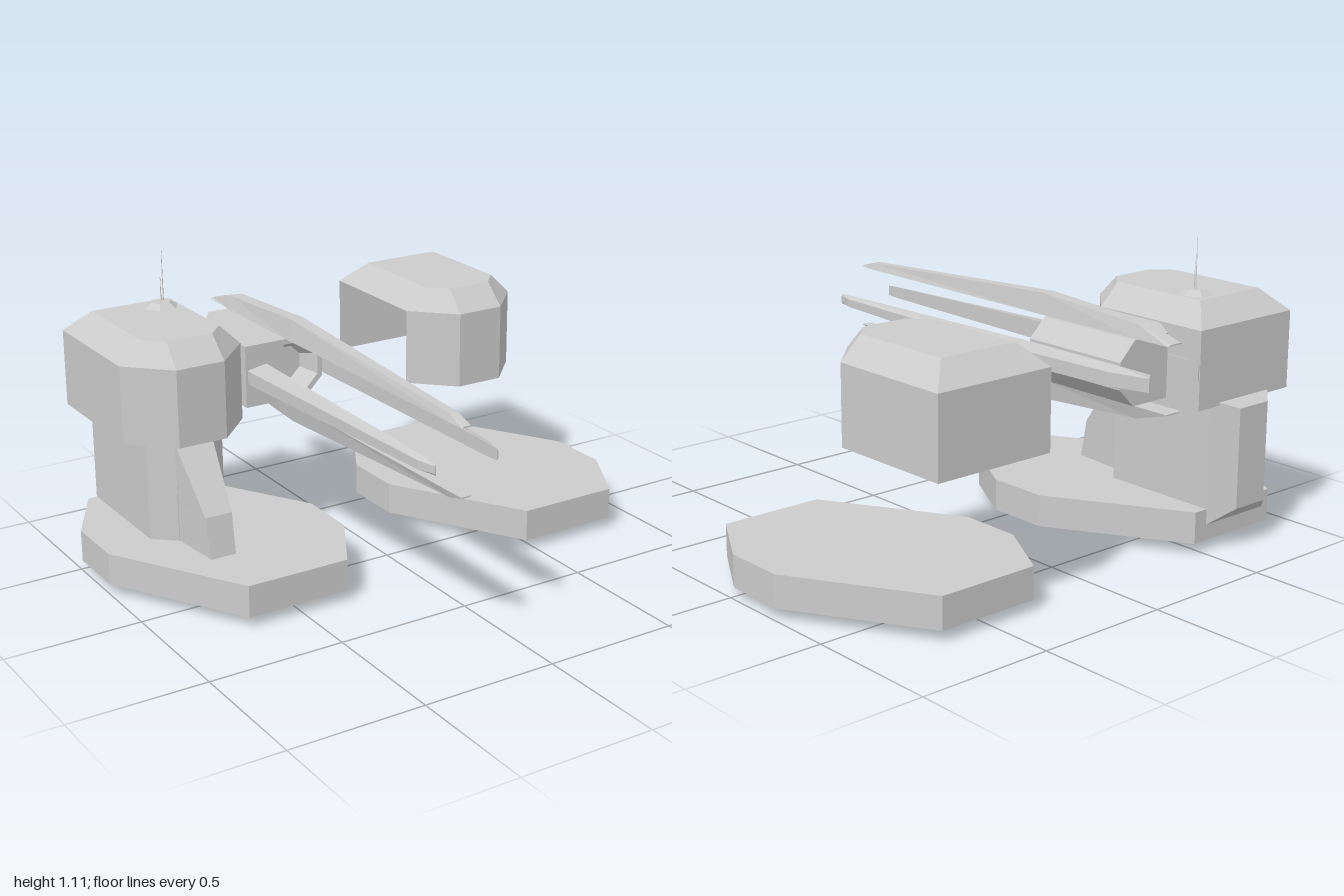
import * as THREE from 'three';

const material = new THREE.MeshStandardMaterial({ color: 0xcccccc, flatShading: true, side: THREE.DoubleSide });

function add(parent, name, geometry) {
  const mesh = new THREE.Mesh(geometry, material);
  mesh.name = name;
  parent.add(mesh);
  return mesh;
}

// Joins a stack of equal-length rings with quads; skip(level, edge) leaves a side open.
function loft(rings, { start = true, end = true, skip = () => false } = {}) {
  const pos = [];
  const tri = (a, b, c) => pos.push(...a, ...b, ...c);
  for (let k = 0; k < rings.length - 1; k++) {
    const lo = rings[k], hi = rings[k + 1], n = lo.length;
    for (let j = 0; j < n; j++) {
      if (skip(k, j)) continue;
      const m = (j + 1) % n;
      tri(lo[j], lo[m], hi[m]);
      tri(lo[j], hi[m], hi[j]);
    }
  }
  const first = rings[0], last = rings[rings.length - 1];
  for (let j = 1; j < first.length - 1; j++) {
    if (start) tri(first[0], first[j + 1], first[j]);
    if (end) tri(last[0], last[j], last[j + 1]);
  }
  const g = new THREE.BufferGeometry();
  g.setAttribute('position', new THREE.Float32BufferAttribute(pos, 3));
  g.computeVertexNormals();
  return g;
}

const atY = (plan, y) => plan.map(([x, z]) => [x, y, z]);
const atZ = (section, z) => section.map(([x, y]) => [x, y, z]);

// Plans as [x, z], counterclockwise from above
const basePlan = [[-0.71, 0.243], [-0.32, 0.243], [-0.175, -0.015], [-0.175, -0.25],
  [-0.465, -0.743], [-0.855, -0.743], [-1, -0.485], [-1, -0.25]];
const headPlan = [[-0.76, -0.14], [-0.575, -0.14], [-0.435, -0.285], [-0.435, -0.765],
  [-0.905, -0.765], [-0.905, -0.285]];
const roofPlan = [[-0.755, -0.217], [-0.58, -0.217], [-0.517, -0.285], [-0.517, -0.683],
  [-0.822, -0.683], [-0.822, -0.285]];
const columnPlan = [[-0.74, -0.215], [-0.6, -0.215], [-0.52, -0.285], [-0.52, -0.745],
  [-0.82, -0.745], [-0.82, -0.285]];

// Base slab with the hollow hexagonal foot and the head above it
function station(name, openSide) {
  const g = new THREE.Group();
  g.name = name;
  add(g, 'base', loft([atY(basePlan, 0.04), atY(basePlan, 0.158)]));
  const foot = add(g, 'footRing', new THREE.CylinderGeometry(0.215, 0.215, 0.04, 6, 1, true, Math.PI / 6 * 3));
  foot.position.set(-0.475, 0.02, -0.012);
  add(g, 'head', loft([atY(headPlan, 0.54), atY(headPlan, 0.825), atY(roofPlan, 0.905)],
    { start: false, skip: (level, edge) => openSide && level === 0 && edge === 4 }));
  return g;
}

function createColumn() {
  const g = new THREE.Group();
  g.name = 'column';
  add(g, 'columnBody', loft([atY(columnPlan, 0.155), atY(columnPlan, 0.545)]));
  // Sloping brace: height, front z, half width
  add(g, 'frontBrace', loft([[0.155, -0.01, 0.048], [0.305, -0.04, 0.052], [0.52, -0.205, 0.072]]
    .map(([y, z, w]) => atY([[-0.67 - w, z], [-0.67 + w, z], [-0.6, -0.24], [-0.74, -0.24]], y))));
  // Bevelled panel on the back
  const rect = (w, y0, y1) => [[-0.67 + w, y0], [-0.67 - w, y0], [-0.67 - w, y1], [-0.67 + w, y1]];
  add(g, 'rearPanel', loft([atZ(rect(0.15, 0.1, 0.56), -0.745), atZ(rect(0.073, 0.16, 0.53), -0.815)]));
  return g;
}

function createGun() {
  const g = new THREE.Group();
  g.name = 'gun';
  g.position.set(-0.235, 0.705, 0);
  const octagon = (r) => Array.from({ length: 8 }, (_, i) => {
    const a = (i + 0.5) * Math.PI / 4, c = r / Math.cos(Math.PI / 8);
    return [c * Math.cos(a), c * Math.sin(a)];
  });
  // Housing: octagonal on the outside, squared off towards the head, with a sunken bore
  const housing = (left) => octagon(0.115).map(([x, y], i) => (i > 1 && i < 6 ? [left, y] : [x, y]));
  const shell = (left) => {
    const s = housing(left);
    s[2] = [left, 0.115];
    s[5] = [left, -0.115];
    return s;
  };
  add(g, 'gunHousing', loft([atZ(shell(-0.115), -0.69), atZ(shell(-0.2), -0.57), atZ(shell(-0.2), -0.25),
    atZ(octagon(0.095), -0.25), atZ(octagon(0.06), -0.32)]));
  // Four tapering rails: z, outer distance, half width
  const stations = [[-0.83, 0.122, 0.037], [-0.68, 0.165, 0.038], [-0.22, 0.193, 0.038],
    [0.76, 0.142, 0.023], [0.83, 0.122, 0.02]];
  const rail = loft(stations.map(([z, out, w]) => {
    const t = w * 0.65;
    return atZ([[-w, 0.117], [w, 0.117], [t, out], [-t, out]], z);
  }));
  for (let i = 0; i < 4; i++) add(g, 'rail' + (i + 1), rail).rotation.z = i * Math.PI / 2;
  return g;
}

function createAntenna() {
  const g = new THREE.Group();
  g.name = 'antenna';
  const mount = add(g, 'antennaMount', new THREE.CylinderGeometry(0.038, 0.067, 0.02, 6, 1, false, Math.PI / 2));
  mount.position.set(-0.588, 0.914, -0.6);
  for (const [x, z, top] of [[-0.573, -0.61, 1.11], [-0.594, -0.585, 1.02]]) {
    const rod = add(g, 'antennaRod', new THREE.CylinderGeometry(0.001, 0.0025, top - 0.92, 4));
    rod.position.set(x, (top + 0.92) / 2, z);
  }
  return g;
}

export function createModel() {
  const model = new THREE.Group();
  model.name = 'gunTurret';
  const turret = station('rightTurret', false);
  turret.add(createColumn(), createGun(), createAntenna());
  // Separate bare base and head, with the head's inner side open
  const spare = station('leftBareParts', true);
  spare.position.x = 1.175;
  spare.children[0].position.x = -0.005;
  model.add(turret, spare);
  return model;
}
